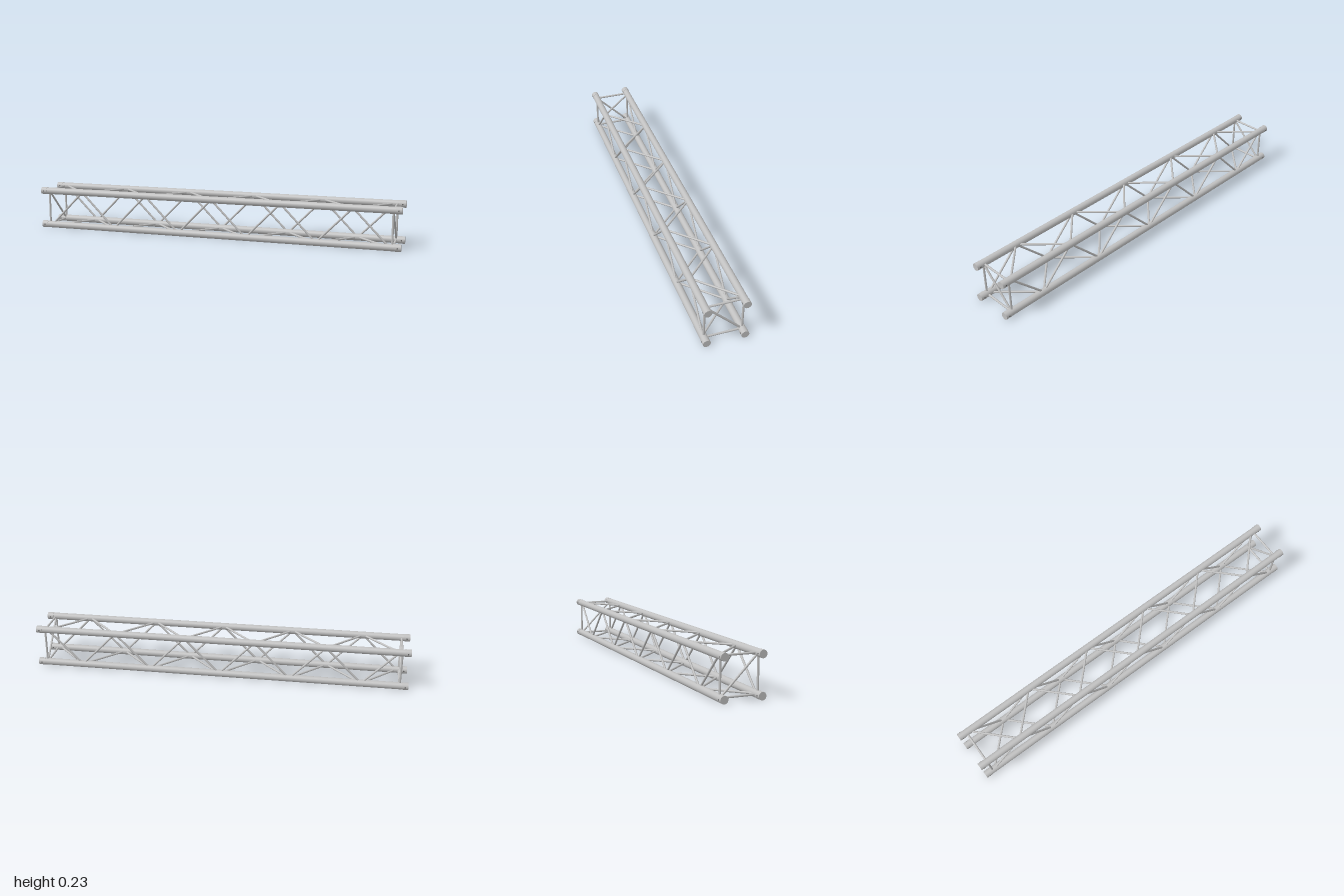
import * as THREE from 'three';

const HALF = 0.0955;   // half spacing between the chord axes
const R = 0.0195;      // outer chord radius
const MID = HALF + R;  // height of the truss axis
const BAR = 0.0055;    // bracing radius

const metal = new THREE.MeshStandardMaterial({ color: 0xc0c0c0 });
metal.name = 'aluminium';
const dark = new THREE.MeshStandardMaterial({ color: 0x6a6a6a });
dark.name = 'dark steel';

// Round bar between two points
function bar(name, a, b, radius, material = metal, sides = 12) {
  const dir = b.clone().sub(a);
  const mesh = new THREE.Mesh(new THREE.CylinderGeometry(radius, radius, dir.length(), sides), material);
  mesh.position.copy(a).add(b).multiplyScalar(0.5);
  mesh.quaternion.setFromUnitVectors(new THREE.Vector3(0, 1, 0), dir.normalize());
  mesh.name = name;
  return mesh;
}

// Point on a chord: sy and sz pick which of the four
const at = (x, sy, sz) => new THREE.Vector3(x, MID + sy * HALF, sz * HALF);

export function createModel() {
  const truss = new THREE.Group();
  truss.name = 'boxTruss';
  const corners = [[1, 1], [1, -1], [-1, -1], [-1, 1]];

  // Four main tubes with end sleeves and cross pins
  for (const [sy, sz] of corners) {
    truss.add(bar('chord', at(-0.98, sy, sz), at(0.98, sy, sz), R - 0.001, metal, 24));
    for (const end of [-1, 1]) {
      truss.add(bar('endSleeve', at(end * 0.967, sy, sz), at(end, sy, sz), R, metal, 24));
      const c = at(end * 0.983, sy, sz);
      const reach = new THREE.Vector3(0, 0, R + 0.0004);
      truss.add(bar('sleevePin', c.clone().sub(reach), c.clone().add(reach), 0.004, dark, 10));
    }
  }

  // Square end frames, each with one diagonal
  for (const x of [-0.955, 0.955]) {
    corners.forEach(([sy, sz], i) => {
      const [ty, tz] = corners[(i + 1) % 4];
      truss.add(bar('endFrameBar', at(x, sy, sz), at(x, ty, tz), BAR));
    });
    truss.add(bar('endFrameDiagonal', at(x, 1, 1), at(x, -1, -1), BAR));
  }

  // Zigzag lacing on all four faces, opposite faces mirrored
  const bays = 10, start = -0.942, step = 1.884 / bays;
  for (let i = 0; i < bays; i++) {
    const x0 = start + i * step, x1 = x0 + step;
    const s = i % 2 ? 1 : -1;
    truss.add(bar('frontLacing', at(x0, s, 1), at(x1, -s, 1), BAR));
    truss.add(bar('backLacing', at(x0, -s, -1), at(x1, s, -1), BAR));
    truss.add(bar('topLacing', at(x0, 1, s), at(x1, 1, -s), BAR));
    truss.add(bar('bottomLacing', at(x0, -1, -s), at(x1, -1, s), BAR));
  }
  return truss;
}
